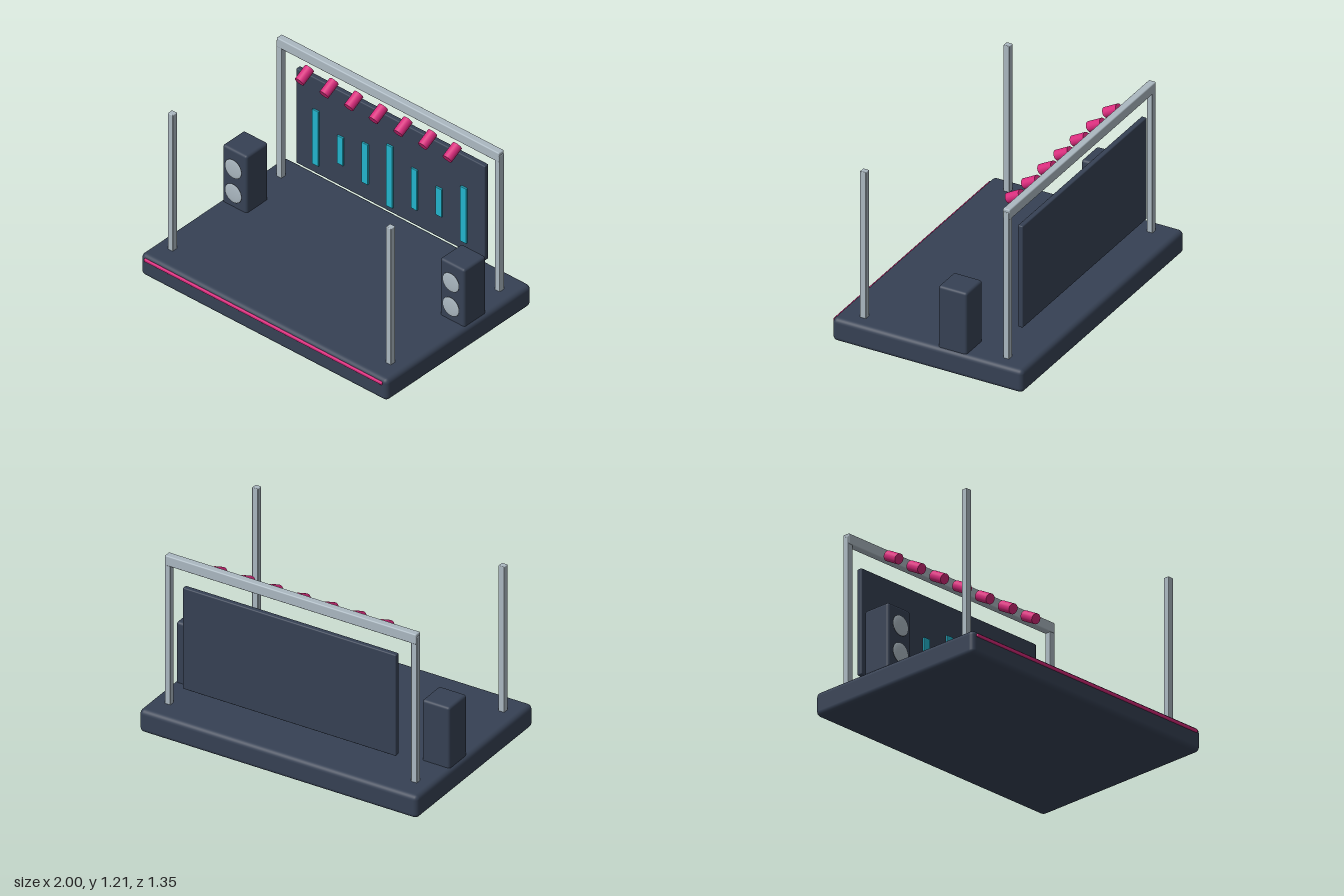
import * as THREE from 'three';
import { RoundedBoxGeometry } from 'three/addons/geometries/RoundedBoxGeometry.js';

const material = (name, color) => {
  const m = new THREE.MeshStandardMaterial({ color });
  m.name = name;
  return m;
};

export function createModel() {
  const navy = material('navy', 0x364154);
  const steel = material('steel grey', 0xabb8c1);
  const pink = material('magenta', 0xd82a7c);
  const cyan = material('cyan', 0x22b4cc);
  const stage = new THREE.Group();
  stage.name = 'stage';

  const add = (name, geometry, mat, x, y, z) => {
    const mesh = new THREE.Mesh(geometry, mat);
    mesh.name = name;
    mesh.position.set(x, y, z);
    stage.add(mesh);
    return mesh;
  };

  // Box given by its limits on each axis, with rounded edges of radius r
  const box = (name, mat, [x0, x1], [y0, y1], [z0, z1], r) =>
    add(name, new RoundedBoxGeometry(x1 - x0, y1 - y0, z1 - z0, 3, r), mat,
      (x0 + x1) / 2, (y0 + y1) / 2, (z0 + z1) / 2);

  // Platform and its glowing front edge
  box('platform', navy, [-1, 1], [0, 0.16], [-0.672, 0.663], 0.032);
  box('edgeLight', pink, [-0.965, 0.965], [0.118, 0.139], [0.652, 0.673], 0.006);

  // Truss: four posts and a rear beam
  for (const x of [-0.885, 0.885]) {
    for (const z of [-0.504, 0.498]) {
      box('post', steel, [x - 0.021, x + 0.021], [0.14, 1.185], [z - 0.021, z + 0.021], 0.005);
    }
  }
  box('topBeam', steel, [-0.903, 0.903], [1.135, 1.206], [-0.529, -0.479], 0.008);

  // Backdrop screen with level bars
  box('screen', navy, [-0.766, 0.766], [0.312, 1.026], [-0.542, -0.505], 0.008);
  const bars = [[0.355, 0.818], [0.435, 0.738], [0.482, 0.692], [0.38, 0.794]];
  for (let i = -3; i <= 3; i++) {
    const x = i * 0.2;
    box('levelBar', cyan, [x - 0.025, x + 0.025], bars[Math.abs(i)], [-0.508, -0.493], 0.003);
  }

  // Spotlights, tipped forward and down
  const lamp = new THREE.CylinderGeometry(0.034, 0.034, 0.107, 24);
  for (let i = -3; i <= 3; i++) {
    add('spotlight', lamp, pink, i * 0.2, 1.115, -0.394).rotation.x = Math.PI / 2 + 0.5;
  }

  // Speaker cabinets with two domed discs each
  const cone = new THREE.SphereGeometry(0.068, 32, 16);
  for (const x of [-0.883, 0.883]) {
    box('speaker', navy, [x - 0.099, x + 0.099], [0.14, 0.585], [-0.272, -0.071], 0.018);
    for (const y of [0.27, 0.453]) {
      add('speakerCone', cone, steel, x, y, -0.06).scale.z = 0.1;
    }
  }
  return stage;
}
